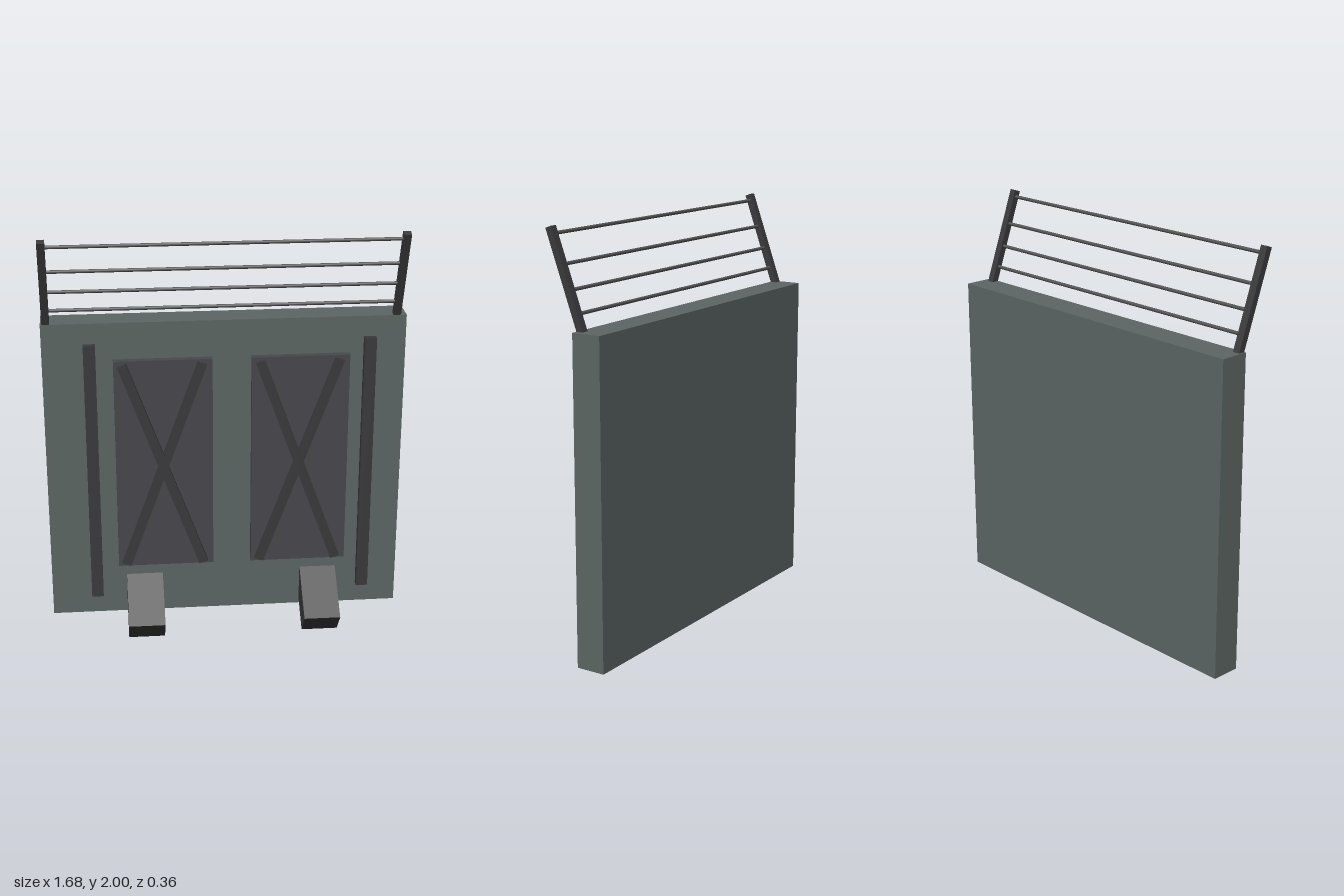
import * as THREE from 'three';

const paint = (color) => new THREE.MeshStandardMaterial({ color });

export function createModel() {
  const model = new THREE.Group();
  const wallPaint = paint(0x5c6664);
  const panelPaint = paint(0x48484d);
  const darkPaint = paint(0x3a393b);
  const railPaint = paint(0x555555);

  const add = (name, geometry, material, x, y, z) => {
    const mesh = new THREE.Mesh(geometry, material);
    mesh.name = name;
    mesh.position.set(x, y, z);
    model.add(mesh);
    return mesh;
  };
  // Box given by its extents on each axis
  const block = (name, material, [x0, x1], [y0, y1], [z0, z1]) =>
    add(name, new THREE.BoxGeometry(x1 - x0, y1 - y0, z1 - z0), material,
      (x0 + x1) / 2, (y0 + y1) / 2, (z0 + z1) / 2);

  block('wall', wallPaint, [-0.84, 0.84], [0.085, 1.57], [-0.178, -0.04]);

  // Upright strips beside the panels
  for (const x of [-0.623, 0.672])
    block('sideStrip', darkPaint, [x - 0.028, x + 0.028], [0.185, 1.472], [-0.06, -0.008]);

  // Panels, each with a pair of crossed braces
  for (const x of [-0.288, 0.35]) {
    block('panel', panelPaint, [x - 0.228, x + 0.228], [0.347, 1.395], [-0.06, -0.008]);
    for (const side of [-1, 1]) {
      const brace = add('crossBrace', new THREE.BoxGeometry(0.045, 1.085, 0.03), darkPaint,
        x - 0.005, 0.869, -0.006 + side * 0.001);
      brace.rotation.z = side * 0.349;
    }
  }

  // Slanted feet
  for (const x of [-0.392, 0.452]) {
    const foot = add('foot', new THREE.BoxGeometry(0.174, 0.144, 0.272), darkPaint, x, 0.147, 0.028);
    foot.rotation.x = 0.69;
  }

  // Railing leaning forward from the top edge
  const lean = 0.347;
  const railZ = (y) => 0.095 + (y - 1.993) * Math.tan(lean);
  for (const x of [-0.815, 0.796]) {
    const post = add('railPost', new THREE.BoxGeometry(0.035, 0.475, 0.03), darkPaint, x, 1.772, railZ(1.772));
    post.rotation.x = lean;
  }
  for (const y of [1.64, 1.737, 1.842, 1.967]) {
    const rail = add('rail', new THREE.CylinderGeometry(0.008, 0.008, 1.6, 10), railPaint, -0.01, y, railZ(y));
    rail.rotation.z = Math.PI / 2;
  }

  return model;
}
